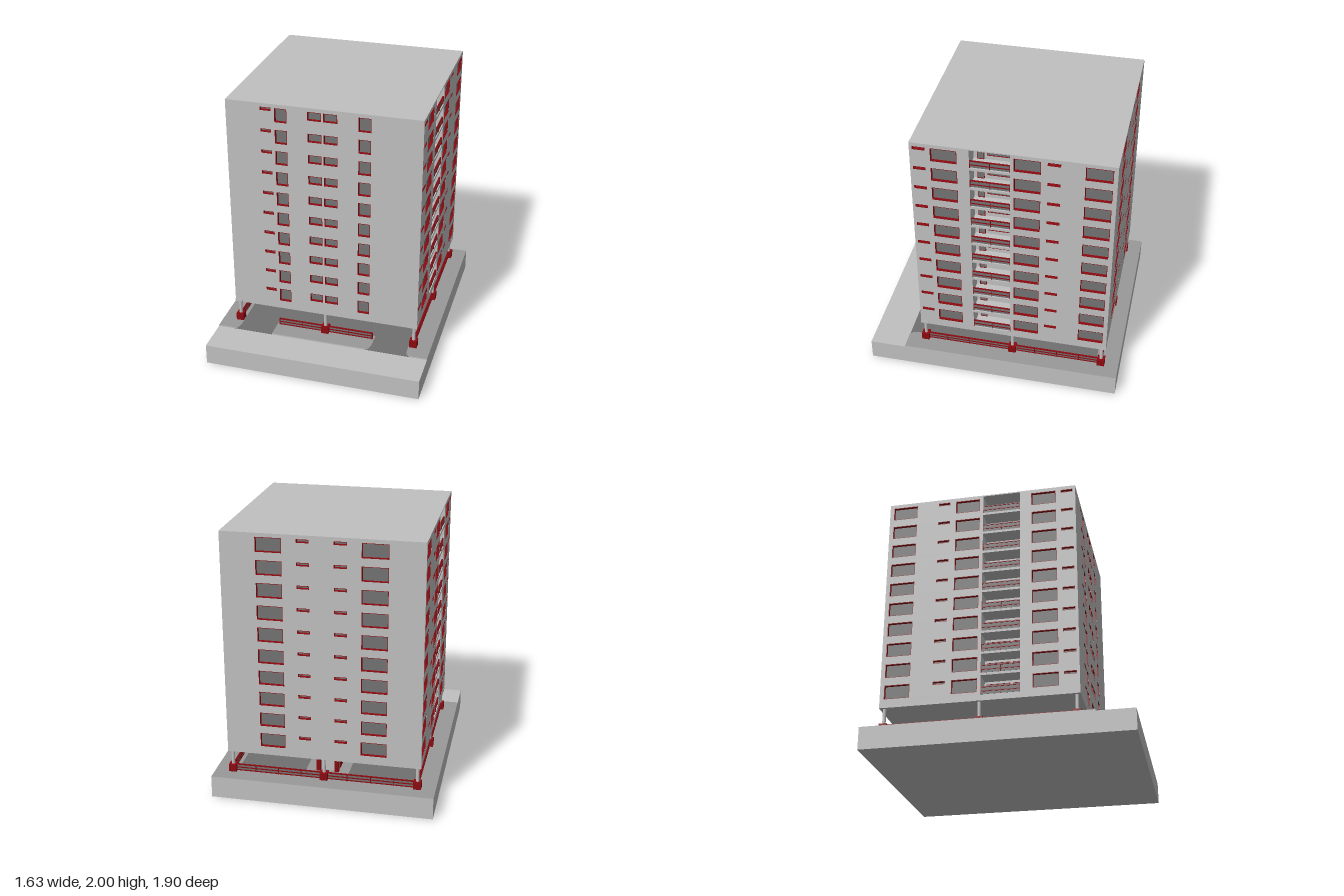
import * as THREE from 'three';
import { mergeGeometries } from 'three/addons/utils/BufferGeometryUtils.js';

const mat = (name, color, side = THREE.FrontSide) => {
  const m = new THREE.MeshStandardMaterial({ color, side });
  m.name = name;
  return m;
};

const FLOORS = 10, FIRST_HEAD = 0.505, PITCH = 0.163;
const BOTTOM = 0.335, TOP = 2, HALF = 0.71, MID_Z = -0.14;
const GROUND = 0.165;

// Box given by its min and max on each axis
function block(x0, x1, y0, y1, z0, z1) {
  return new THREE.BoxGeometry(x1 - x0, y1 - y0, z1 - z0)
    .translate((x0 + x1) / 2, (y0 + y1) / 2, (z0 + z1) / 2);
}

function part(name, geos, material) {
  const mesh = new THREE.Mesh(Array.isArray(geos) ? mergeGeometries(geos) : geos, material);
  mesh.name = name;
  return mesh;
}

function rectPath(u0, u1, y0, y1) {
  return new THREE.Path([[u0, y0], [u0, y1], [u1, y1], [u1, y0]].map(p => new THREE.Vector2(...p)));
}

export function createModel() {
  const model = new THREE.Group();
  model.name = 'apartmentTower';
  const wall = mat('concrete', 0xc0c0c0);
  const wallSheet = mat('facadeConcrete', 0xc0c0c0, THREE.DoubleSide);
  const paving = mat('paving', 0x999999);
  const glass = mat('darkGlass', 0x737373);
  const asphalt = mat('asphalt', 0x707070);
  const red = mat('redTrim', 0x8c0a10);

  // One facade: u runs right, y up, +z outward. Windows are [u0, u1, height].
  function facade(name, windows, balcony) {
    const g = new THREE.Group();
    g.name = name;
    const sheet = new THREE.Shape(rectPath(-HALF, HALF, BOTTOM, TOP).getPoints().reverse());
    const frames = [], panes = [], niches = [], railPanels = [], t = 0.004, d = 0.022;
    const frame = (u0, u1, y0, y1, z0, z1) => frames.push(
      block(u0, u0 + t, y0, y1, z0, z1), block(u1 - t, u1, y0, y1, z0, z1),
      block(u0, u1, y0, y0 + t, z0, z1), block(u0, u1, y1 - t, y1, z0, z1));
    for (let i = 0; i < FLOORS; i++) {
      const head = FIRST_HEAD + i * PITCH;
      for (const [a, b, h] of windows) {
        const u0 = Math.min(a, b), u1 = Math.max(a, b);
        sheet.holes.push(rectPath(u0, u1, head - h, head));
        frame(u0, u1, head - h, head, -d, -0.0005);
        panes.push(block(u0, u1, head - h, head, -d - 0.005, -d));
      }
      if (!balcony) continue;
      // Recessed balcony with door, window and railing
      const { u0, u1, dir } = balcony, y0 = head - 0.125, y1 = head + 0.02, depth = 0.13;
      sheet.holes.push(rectPath(u0, u1, y0, y1));
      niches.push(
        block(u0, u1, y0, y1, -depth - 0.006, -depth),
        block(u0 - 0.008, u0, y0, y1, -depth, -0.001), block(u1, u1 + 0.008, y0, y1, -depth, -0.001),
        block(u0, u1, y0 - 0.008, y0, -depth, -0.001), block(u0, u1, y1, y1 + 0.007, -depth, -0.001));
      const c = (u0 + u1) / 2;
      for (const [p, q, low] of [[-0.115, -0.065, y0], [-0.045, 0.125, head - 0.09]]) {
        const a = c + Math.min(dir * p, dir * q), b = c + Math.max(dir * p, dir * q);
        panes.push(block(a, b, low, head, -depth, -depth + 0.004));
        frame(a, b, low, head, -depth, -depth + 0.007);
      }
      railPanels.push(block(u0, u1, y0 + 0.004, y0 + 0.058, -0.011, -0.007));
      for (const y of [y0 + 0.024, y0 + 0.054]) frames.push(block(u0, u1, y, y + 0.006, -0.013, -0.003));
      for (const u of [u0, c - 0.002, u1 - 0.004]) frames.push(block(u, u + 0.004, y0, y0 + 0.06, -0.013, -0.003));
    }
    g.add(part('facadeWall', new THREE.ShapeGeometry(sheet), wallSheet));
    g.add(part('windowFrames', frames, red), part('windowPanes', panes, glass));
    if (balcony) g.add(part('balconyNiches', niches, wall), part('balconyPanels', railPanels, glass));
    return g;
  }

  // Front and back facades
  const front = facade('frontFacade', [
    [-0.455, -0.375, 0.025], [-0.35, -0.26, 0.105], [-0.11, -0.01, 0.065],
    [0.005, 0.105, 0.065], [0.255, 0.345, 0.105]]);
  front.position.z = MID_Z + HALF;
  const back = facade('backFacade', [
    [-0.46, -0.275, 0.105], [-0.175, -0.085, 0.025], [0.085, 0.175, 0.025], [0.275, 0.46, 0.105]]);
  back.rotation.y = Math.PI;
  back.position.z = MID_Z - HALF;
  model.add(front, back);

  // Mirrored side facades, laid out by z
  const sideWindows = [[0.55, 0.46, 0.025], [0.425, 0.24, 0.105], [-0.15, -0.335, 0.105],
    [-0.38, -0.47, 0.025], [-0.635, -0.82, 0.105]];
  for (const s of [1, -1]) {
    const u = z => -s * (z - MID_Z);
    const ends = [u(0.155), u(-0.125)];
    const side = facade(s > 0 ? 'leftFacade' : 'rightFacade',
      sideWindows.map(([a, b, h]) => [u(a), u(b), h]),
      { u0: Math.min(...ends), u1: Math.max(...ends), dir: s });
    side.rotation.y = s * Math.PI / 2;
    side.position.set(s * HALF, 0, MID_Z);
    model.add(side);
  }

  // Roof and underside
  const z0 = MID_Z - HALF, z1 = MID_Z + HALF;
  model.add(part('roof', block(-HALF, HALF, TOP - 0.001, TOP, z0, z1), wall));
  model.add(part('underside', block(-HALF, HALF, BOTTOM, BOTTOM + 0.002, z0, z1), wall));

  // Plinth and asphalt drive
  model.add(part('plinth', block(-0.815, 0.815, 0, 0.155, -0.95, 0.95), wall));
  model.add(part('drive', block(-0.7, 0.7, 0.155, 0.157, -0.8, 0.679), asphalt));

  // Pavement around a U-shaped drive; shape y is -z
  const pave = new THREE.Shape();
  pave.moveTo(-0.815, 0.95);
  pave.lineTo(-0.815, -0.68);
  pave.lineTo(-0.69, -0.68);
  pave.quadraticCurveTo(-0.65, -0.67, -0.65, -0.61);
  pave.lineTo(-0.65, 0.78);
  pave.lineTo(0.65, 0.78);
  pave.lineTo(0.65, -0.61);
  pave.quadraticCurveTo(0.65, -0.67, 0.69, -0.68);
  pave.lineTo(0.815, -0.68);
  pave.lineTo(0.815, 0.95);
  const island = new THREE.Shape();
  island.moveTo(-0.385, -0.68);
  island.lineTo(0.34, -0.68);
  island.quadraticCurveTo(0.38, -0.67, 0.38, -0.61);
  island.lineTo(0.38, -0.5);
  island.lineTo(-0.385, -0.5);
  const lobbyPad = new THREE.Shape();
  lobbyPad.absarc(0, 0.68, 0.16, 0, Math.PI);
  lobbyPad.absarc(0, 0.27, 0.16, Math.PI, Math.PI * 2);
  [['pavement', pave], ['frontIsland', island], ['lobbyPad', lobbyPad]].forEach(([name, shape]) => {
    const geo = new THREE.ExtrudeGeometry(shape, { depth: 0.01, bevelEnabled: false, curveSegments: 8 });
    geo.rotateX(-Math.PI / 2).translate(0, 0.155, 0);
    const mesh = part(name, geo, [paving, wall]);
    model.add(mesh);
  });

  // Columns with capitals and red footings
  const columns = [], capitals = [], footings = [];
  const PX = 0.683, PZ = [0.543, -0.137, -0.817];
  for (const x of [-PX, 0, PX]) for (const z of PZ) {
    if (x === 0 && z === PZ[1]) continue;
    const around = (r, y0, y1) => block(x - r, x + r, y0, y1, z - r, z + r);
    columns.push(new THREE.CylinderGeometry(0.0125, 0.0125, 0.18, 12).translate(x, 0.25, z));
    if (x !== 0) capitals.push(around(0.0285, 0.335, 0.358));
    footings.push(around(0.0285, 0.16, 0.221));
  }
  model.add(part('columns', columns, wall), part('capitals', capitals, wall), part('footings', footings, red));

  // Fence runs with rails, stiles and grey infill
  const rails = [], infill = [];
  function fence(ax, az, bx, bz, bays) {
    const len = Math.hypot(bx - ax, bz - az), angle = -Math.atan2(bz - az, bx - ax);
    const place = geo => geo.rotateY(angle).translate(ax, 0, az);
    for (const y of [0.168, 0.19, 0.213]) rails.push(place(block(0, len, y, y + 0.007, -0.006, 0.006)));
    for (let i = 0; i <= bays; i++) {
      const u = i * len / bays;
      rails.push(place(block(u - 0.003, u + 0.003, 0.16, 0.22, -0.006, 0.006)));
    }
    infill.push(place(block(0, len, 0.168, 0.217, -0.002, 0.002)));
  }
  fence(-0.365, PZ[0], 0.365, PZ[0], 4);
  for (const s of [-1, 1]) {
    fence(0, PZ[2], s * PX, PZ[2], 4);
    fence(s * PX, PZ[0], s * PX, PZ[1], 4);
    fence(s * PX, PZ[1], s * PX, PZ[2], 4);
  }
  model.add(part('fenceRails', rails, red), part('fencePanels', infill, glass));

  // Ground-floor lobby with red corner piers and doors
  const lobby = new THREE.Group();
  lobby.name = 'lobby';
  const piers = [], doors = [];
  for (const s of [-1, 1]) {
    const span = (a, b) => [Math.min(s * a, s * b), Math.max(s * a, s * b)];
    for (const z of [-0.27, -0.705]) piers.push(block(...span(0.052, 0.084), 0.16, BOTTOM, z, z + 0.025));
    for (const [a, b] of [[-0.43, -0.32], [-0.63, -0.52]])
      doors.push(block(...span(0.08, 0.084), 0.16, 0.298, a, b));
  }
  lobby.add(part('lobbyWalls', block(-0.08, 0.08, 0.16, BOTTOM, -0.68, -0.27), wall));
  lobby.add(part('lobbyPiers', piers, red), part('lobbyDoors', doors, red));
  model.add(lobby);
  return model;
}
